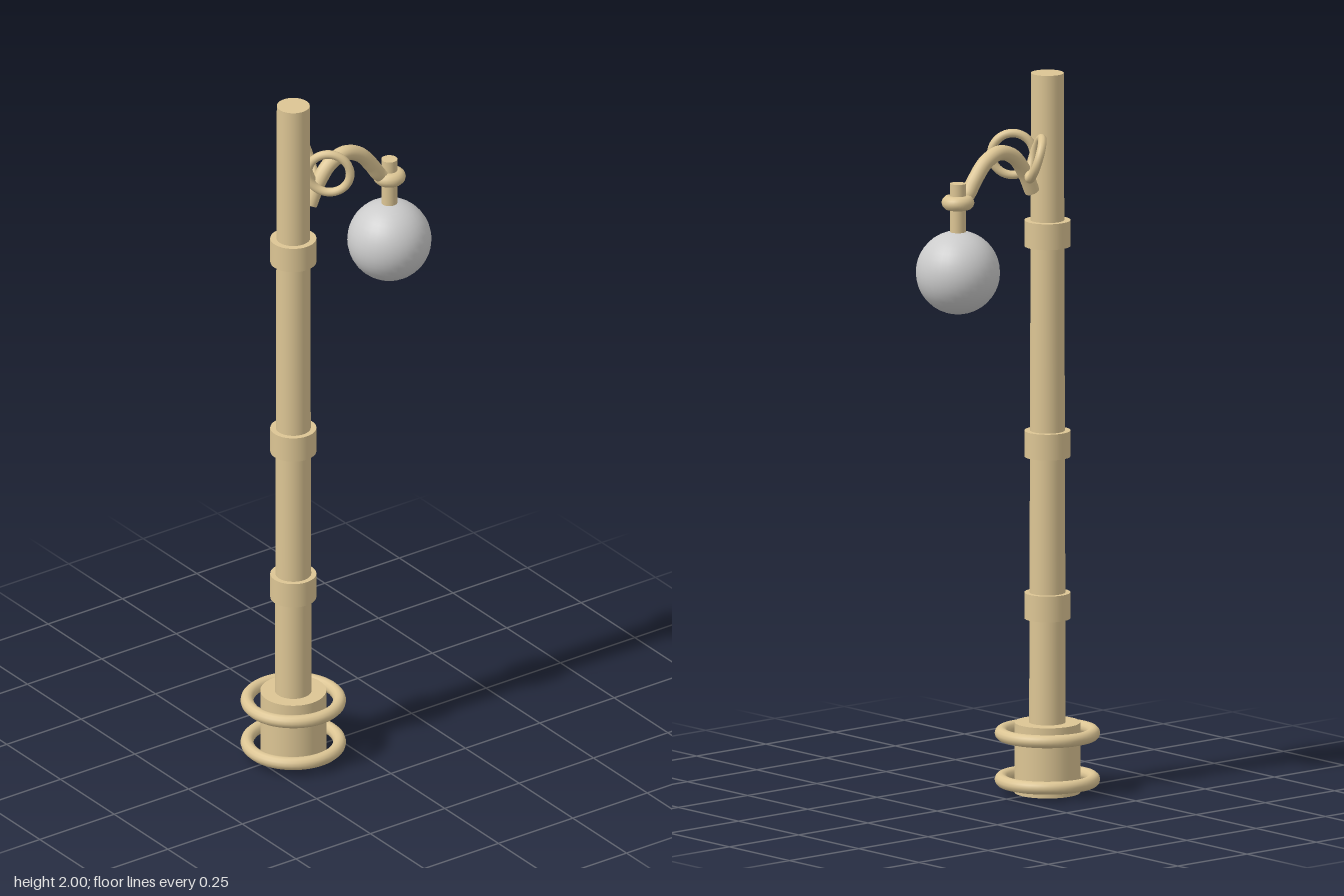
import * as THREE from 'three';

const POLE_X = -0.148;
const LAMP_X = 0.175;

export function createModel() {
  const group = new THREE.Group();
  const tan = new THREE.MeshStandardMaterial({ color: 0xdcc594 });
  const grey = new THREE.MeshStandardMaterial({ color: 0xcccccc });

  const add = (name, geometry, x, y, z = 0, material = tan) => {
    const mesh = new THREE.Mesh(geometry, material);
    mesh.name = name;
    mesh.position.set(x, y, z);
    group.add(mesh);
    return mesh;
  };

  // Base drum with two loose rings around it
  add('base', new THREE.CylinderGeometry(0.09, 0.09, 0.195, 40), POLE_X, 0.0975);
  for (const y of [0.036, 0.165]) {
    add('baseRing', new THREE.TorusGeometry(0.126, 0.018, 12, 48), POLE_X, y).rotation.x = Math.PI / 2;
  }

  // Slightly tapered pole with three collars
  add('pole', new THREE.CylinderGeometry(0.045, 0.05, 1.81, 40), POLE_X, 1.095);
  for (const y of [0.52, 0.97, 1.555]) {
    add('collar', new THREE.CylinderGeometry(0.063, 0.063, 0.072, 40), POLE_X, y);
  }

  // Curved arm reaching from the pole to the lamp
  const armPath = new THREE.CatmullRomCurve3([
    [-0.092, 1.68], [-0.065, 1.735], [-0.025, 1.783], [0.025, 1.8],
    [0.075, 1.78], [0.115, 1.735], [0.14, 1.7], [0.17, 1.68],
  ].map(([x, y]) => new THREE.Vector3(x, y, 0)));
  add('arm', new THREE.TubeGeometry(armPath, 48, 0.021, 14), 0, 0);
  // Closed end of the arm beside the pole
  const cap = add('armEnd', new THREE.CylinderGeometry(0.021, 0.021, 0.004, 14), -0.092, 1.68);
  cap.quaternion.setFromUnitVectors(new THREE.Vector3(0, 1, 0), armPath.getTangentAt(0));

  // Pair of ornamental hoops flanking the arm, each facing along its normal
  const hoops = [
    { center: [-0.057, 1.78, 0.04], normal: [-0.64, 0, 0.77] },
    { center: [-0.062, 1.78, -0.05], normal: [0.78, 0.3, 0.55] },
  ];
  for (const { center, normal } of hoops) {
    const hoop = add('hoop', new THREE.TorusGeometry(0.058, 0.012, 12, 40), ...center);
    hoop.quaternion.setFromUnitVectors(
      new THREE.Vector3(0, 0, 1), new THREE.Vector3(...normal).normalize());
  }

  // Lamp stem, bead and globe
  add('lampStem', new THREE.CylinderGeometry(0.022, 0.022, 0.145, 24), LAMP_X, 1.6625);
  add('stemRing', new THREE.TorusGeometry(0.025, 0.02, 12, 32), LAMP_X, 1.682).rotation.x = Math.PI / 2;
  add('globe', new THREE.SphereGeometry(0.115, 32, 20), LAMP_X, 1.488, 0, grey);

  return group;
}
